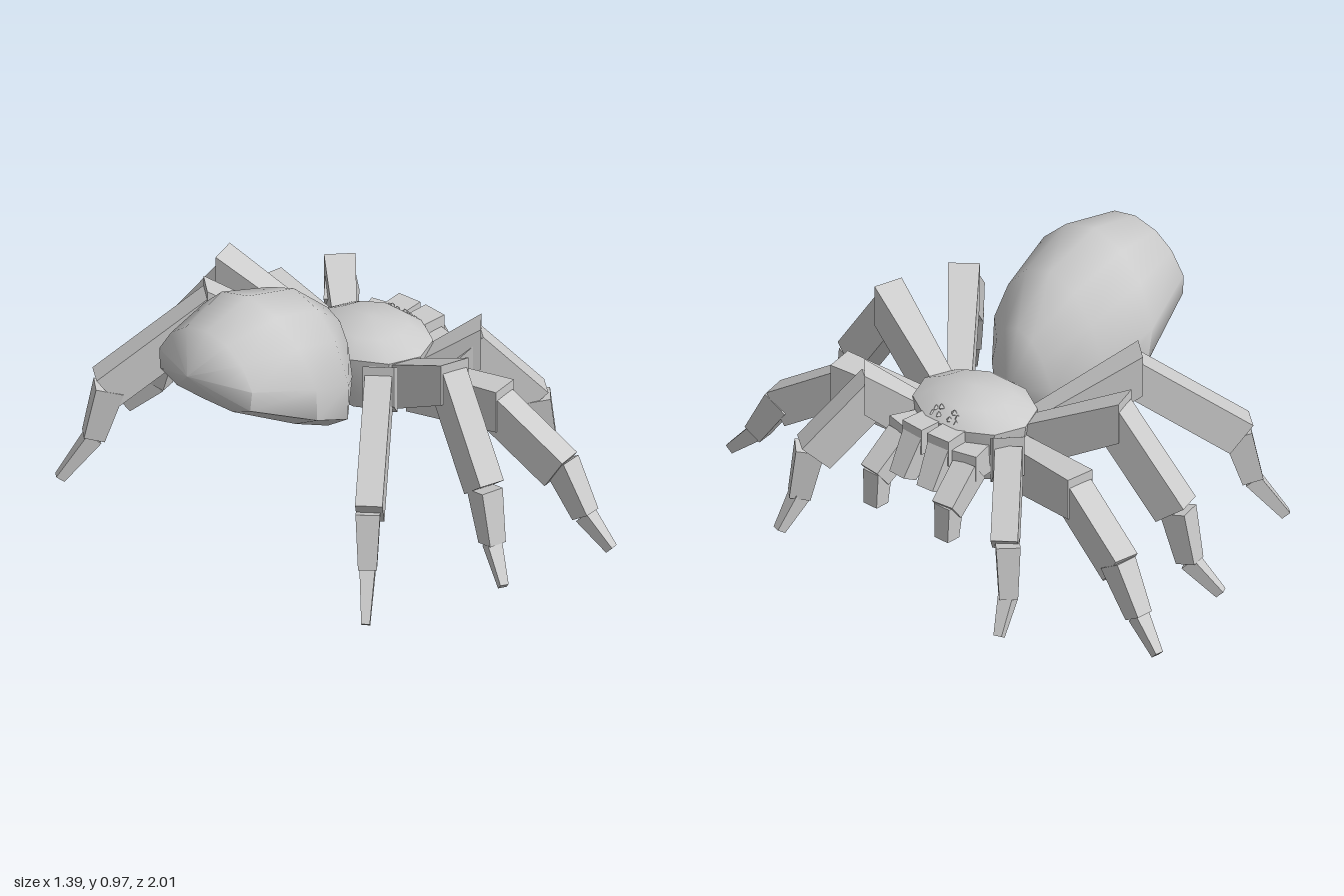
import * as THREE from 'three';
import { toCreasedNormals } from 'three/addons/utils/BufferGeometryUtils.js';

const grey = new THREE.MeshStandardMaterial({ color: 0xcccccc });

function add(parent, name, geometry) {
  const mesh = new THREE.Mesh(geometry, grey);
  mesh.name = name;
  parent.add(mesh);
  return mesh;
}

// Tapered bar from a to b; width and depth run from w0, d0 at a to w1, d1 at b.
// The line a-b is the bar's axis (lift 0) or the middle of its top face (lift -0.5).
// An upright bar has vertical end faces.
function bar(a, b, [w0, w1, d0, d1], lift = 0, upright = false) {
  const start = new THREE.Vector3(...a), end = new THREE.Vector3(...b);
  const dir = end.clone().sub(start).normalize();
  const side = new THREE.Vector3(0, 1, 0).cross(dir).normalize();
  const up = upright ? new THREE.Vector3(0, 1, 0) : dir.clone().cross(side);
  const g = new THREE.BoxGeometry(1, 1, 1);
  const p = g.attributes.position;
  const v = new THREE.Vector3();
  for (let i = 0; i < p.count; i++) {
    const t = p.getZ(i) + 0.5;
    v.lerpVectors(start, end, t)
      .addScaledVector(side, p.getX(i) * (w0 + (w1 - w0) * t))
      .addScaledVector(up, (p.getY(i) + lift) * (d0 + (d1 - d0) * t));
    p.setXYZ(i, v.x, v.y, v.z);
  }
  g.computeVertexNormals();
  return g;
}

// Closed skin over rings of points; first and last rings are single tips
function loft(rings, crease) {
  const n = rings[0].length, last = rings.length - 2, index = [];
  for (let r = 0; r <= last; r++) {
    for (let i = 0; i < n; i++) {
      const a = r * n + i, b = r * n + (i + 1) % n;
      if (r < last) index.push(b, b + n, a + n);
      if (r > 0) index.push(a, b, a + n);
    }
  }
  const g = new THREE.BufferGeometry();
  g.setAttribute('position', new THREE.Float32BufferAttribute(rings.flat(2), 3));
  g.setIndex(index);
  return toCreasedNormals(g, crease);
}

// Abdomen: slanted rings, [top x, top y, bottom x, bottom y, half width]
function abdomen() {
  const sections = [
    [-0.70, 0.78, -0.70, 0.78, 0],
    [-0.60, 0.92, -0.61, 0.65, 0.22],
    [-0.39, 0.97, -0.34, 0.50, 0.295],
    [-0.16, 0.90, -0.15, 0.40, 0.255],
    [0.01, 0.75, -0.03, 0.385, 0.14],
    [0.07, 0.52, 0.07, 0.52, 0],
  ];
  // Domed above, flat below: [share of half width, share of height]
  const half = [[0, 1], [0.44, 0.92], [0.76, 0.73], [1, 0.42], [0.97, 0.14], [0.6, 0.01], [0, 0]];
  const outline = [...half, ...half.slice(1, -1).reverse().map(([w, k]) => [-w, k])];
  return loft(sections.map(([tx, ty, bx, by, hw]) =>
    outline.map(([w, k]) => [bx + (tx - bx) * k, by + (ty - by) * k, hw * w])), 0.97);
}

// Head and thorax: domed shell with steep walls, [y, x radius, z radius]
function thorax() {
  const sections = [
    [0.335, 0, 0], [0.34, 0.15, 0.18], [0.43, 0.18, 0.22], [0.55, 0.185, 0.235],
    [0.60, 0.125, 0.14], [0.62, 0, 0],
  ];
  const sides = 10;
  return loft(sections.map(([y, rx, rz]) =>
    Array.from({ length: sides }, (_, i) => {
      const a = -(i + 0.5) / sides * Math.PI * 2;
      return [0.23 + rx * Math.cos(a) * 1.03, y, rz * Math.sin(a)];
    })), 0.65);
}

// Limbs on the +z side. Top: hip, knee and shin end along the upper faces.
// Axis: centre line of the thinner bars that hang from the shin.
const legSizes = [[0.085, 0.11, 0.18, 0.16], [0.095, 0.095, 0.135, 0.135], [0.085, 0.065, 0.10, 0.075], [0.055, 0.03, 0.06, 0.035]];
const limbs = {
  backLeg: {
    top: [[0.12, 0.53, 0.17], [-0.17, 0.755, 0.41], [-0.475, 0.425, 0.65]],
    axis: [[-0.44, 0.375, 0.615], [-0.48, 0.18, 0.65], [-0.57, 0.02, 0.725]],
    sizes: legSizes,
  },
  midBackLeg: {
    top: [[0.18, 0.53, 0.18], [0.067, 0.73, 0.55], [0.0, 0.365, 0.79]],
    axis: [[0.01, 0.325, 0.745], [0.0, 0.13, 0.79], [-0.05, 0.015, 0.89]],
    sizes: legSizes,
  },
  midFrontLeg: {
    top: [[0.25, 0.50, 0.18], [0.31, 0.53, 0.56], [0.36, 0.325, 0.82]],
    axis: [[0.36, 0.29, 0.78], [0.37, 0.12, 0.885], [0.39, 0.015, 0.99]],
    sizes: legSizes,
  },
  frontLeg: {
    top: [[0.30, 0.52, 0.19], [0.43, 0.645, 0.335], [0.61, 0.365, 0.475]],
    axis: [[0.575, 0.335, 0.46], [0.60, 0.14, 0.485], [0.675, 0.02, 0.51]],
    sizes: legSizes,
  },
  fang: {
    top: [[0.34, 0.55, 0.05], [0.49, 0.555, 0.06], [0.565, 0.385, 0.065]],
    axis: [],
    sizes: [[0.09, 0.095, 0.12, 0.10], [0.09, 0.07, 0.09, 0.07]],
  },
  feeler: {
    top: [[0.32, 0.50, 0.12], [0.46, 0.515, 0.155], [0.59, 0.375, 0.17]],
    axis: [[0.55, 0.36, 0.165], [0.56, 0.225, 0.165]],
    sizes: [[0.08, 0.095, 0.12, 0.10], [0.09, 0.085, 0.10, 0.085], [0.07, 0.06, 0.075, 0.06]],
  },
};

// The shin starts a little below the knee, tucked under the thigh
function limb(name, { top, axis, sizes }, s) {
  const group = new THREE.Group();
  group.name = name;
  const at = ([x, y, z], drop = 0) => [x, y - drop, z * s];
  const [hip, knee, shinEnd] = top;
  add(group, 'thigh', bar(at(hip), at(knee), sizes[0], -0.5, true));
  add(group, 'shin', bar(at(knee, 0.035), at(shinEnd), sizes[1], -0.5));
  for (let i = 1; i < axis.length; i++) {
    add(group, i === 1 ? 'ankle' : 'foot', bar(at(axis[i - 1]), at(axis[i]), sizes[i + 1]));
  }
  return group;
}

export function createModel() {
  const model = new THREE.Group();
  model.name = 'spider';
  add(model, 'abdomen', abdomen());
  add(model, 'thorax', thorax());

  for (const s of [1, -1]) {
    for (const [name, spec] of Object.entries(limbs)) {
      model.add(limb(name + (s > 0 ? 'Left' : 'Right'), spec, s));
    }
    // Cluster of small eyes on the brow
    for (const [x, y, z] of [[0.39, 0.565, 0.025], [0.375, 0.575, 0.05], [0.39, 0.56, 0.055], [0.37, 0.585, 0.03]]) {
      add(model, 'eye', new THREE.OctahedronGeometry(0.014)).position.set(x, y, z * s);
    }
  }
  return model;
}
